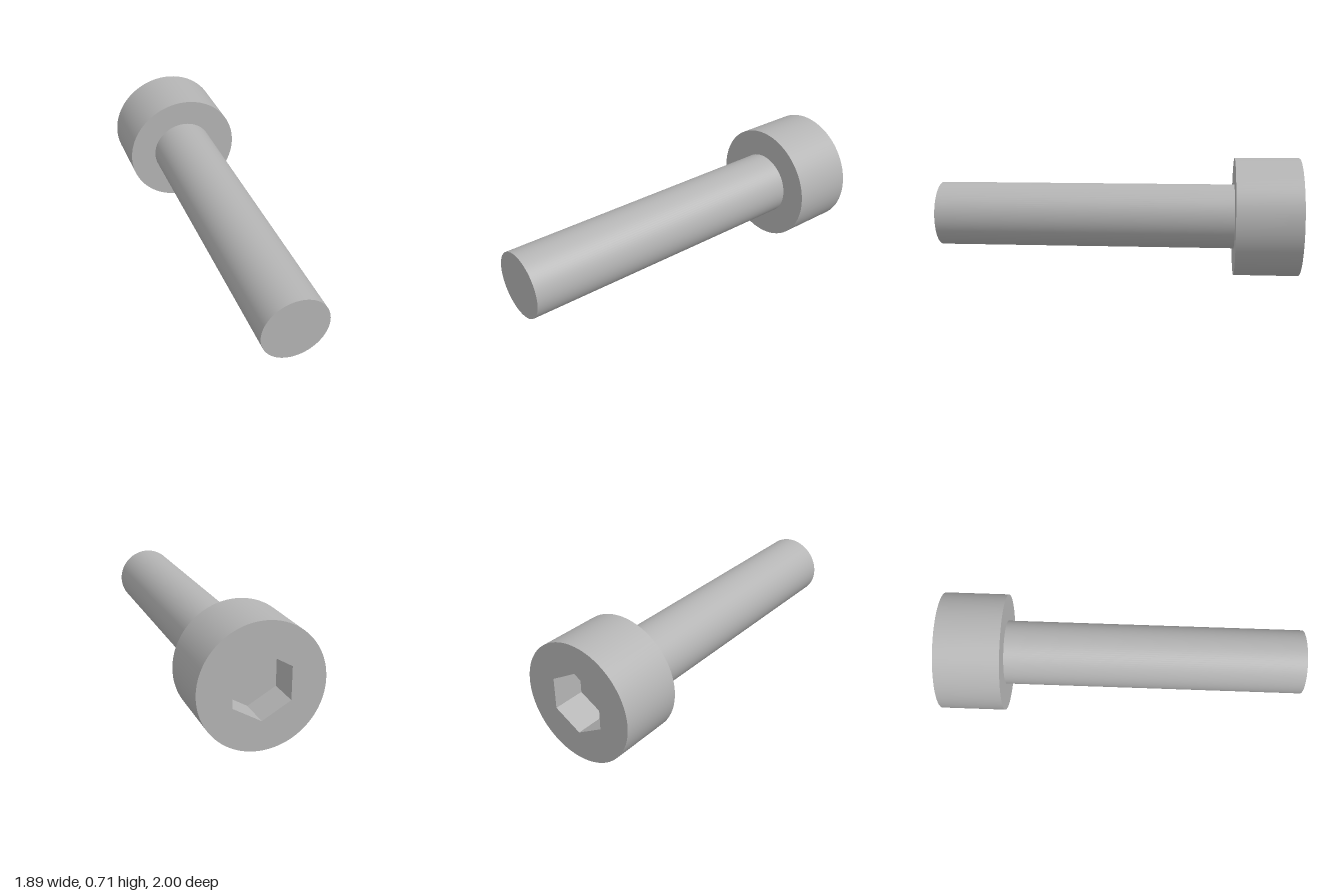
import * as THREE from 'three';
import { toCreasedNormals } from 'three/addons/utils/BufferGeometryUtils.js';

const HEAD_R = 0.357, HEAD_H = 0.388, SHANK_R = 0.195, LENGTH = 2.2;
const HEX_R = 0.188, HEX_DEPTH = 0.195, SIDES = 96;

export function createModel() {
  const steel = new THREE.MeshStandardMaterial({ color: 0xb4b4b4 });
  steel.name = 'steel grey';

  const bolt = new THREE.Group();
  bolt.name = 'socketHeadBolt';

  const add = (name, geometry) => {
    const mesh = new THREE.Mesh(geometry, steel);
    mesh.name = name;
    bolt.add(mesh);
  };
  // Turned profile of [radius, distance along the bolt], with sharp corners
  const turned = (points, sides) => toCreasedNormals(
    new THREE.LatheGeometry(points.map(([r, y]) => new THREE.Vector2(r, y)), sides), 0.5);
  const ring = (radius, sides) => Array.from({ length: sides }, (_, i) => {
    const a = (i / sides) * Math.PI * 2;
    return new THREE.Vector2(Math.sin(a) * radius, Math.cos(a) * radius);
  });

  // Head wall and underside
  add('head', turned([[HEAD_R, 0], [HEAD_R, HEAD_H], [SHANK_R, HEAD_H]], SIDES));

  // Shank with its flat tip
  add('shank', turned([[SHANK_R, HEAD_H], [SHANK_R, LENGTH], [0, LENGTH]], SIDES));

  // Outer face of the head, pierced by the hexagon
  const face = new THREE.Shape(ring(HEAD_R, SIDES));
  face.holes.push(new THREE.Path(ring(HEX_R, 6)));
  add('headFace', new THREE.ShapeGeometry(face).rotateX(Math.PI / 2));

  // Socket floor and inward-facing walls
  add('hexSocket', turned([[0, HEX_DEPTH], [HEX_R, HEX_DEPTH], [HEX_R, 0]], 6));

  // Lay the bolt level, pointing diagonally to the front left
  bolt.rotation.set(Math.PI / 2, Math.atan2(0.6735, 0.739), 0, 'YXZ');
  bolt.position.set(-0.681, HEAD_R, -0.759);

  const model = new THREE.Group();
  model.name = 'model';
  model.add(bolt);
  return model;
}
